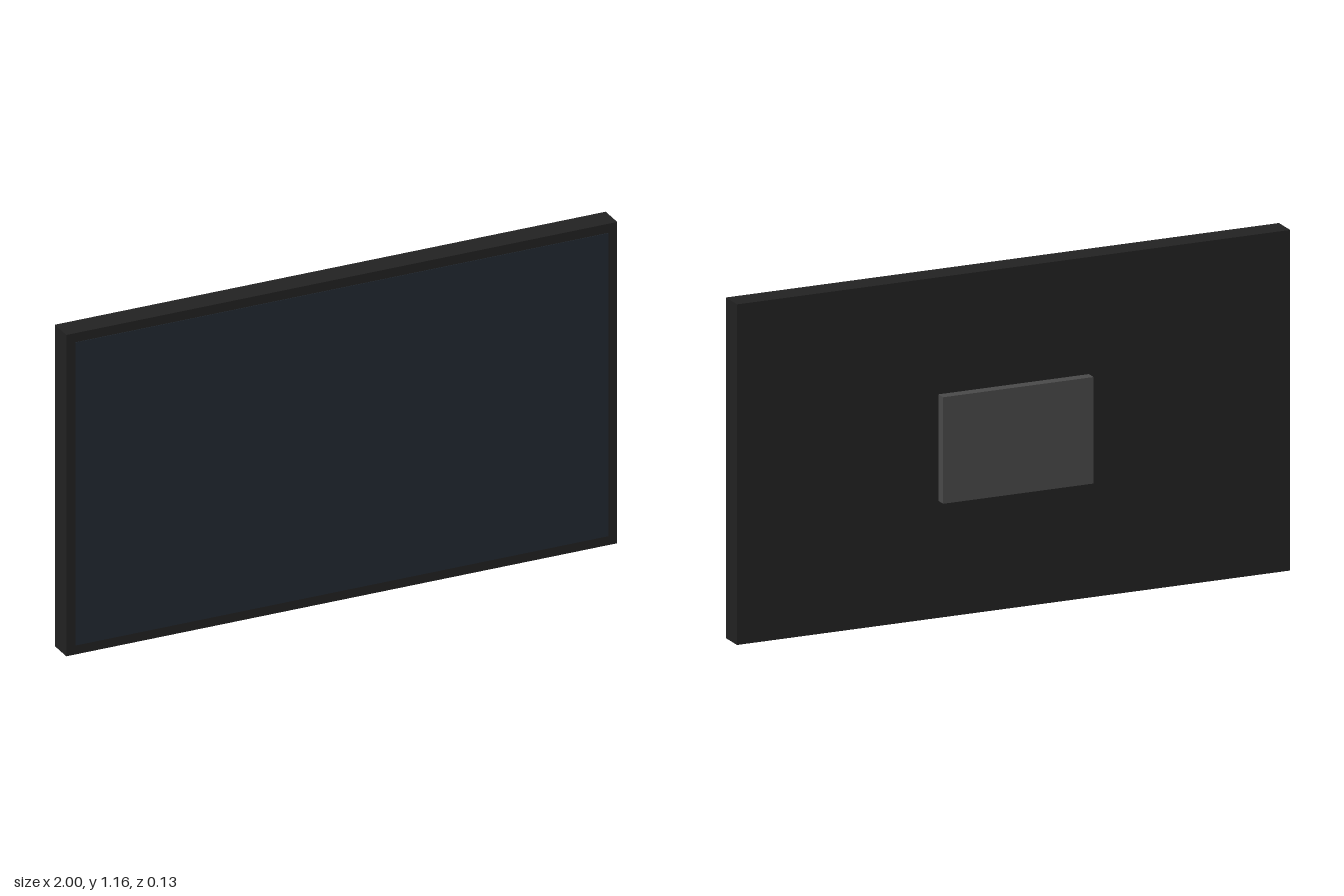
import * as THREE from 'three';

export function createModel() {
  const group = new THREE.Group();
  const width = 2, height = 1.164, bezel = 0.033;
  const centreY = height / 2;

  // Box spanning zBack to zFront, centred on the panel
  function addBox(name, w, h, zBack, zFront, color) {
    const mesh = new THREE.Mesh(
      new THREE.BoxGeometry(w, h, zFront - zBack),
      new THREE.MeshStandardMaterial({ color })
    );
    mesh.name = name;
    mesh.position.set(0, centreY, (zBack + zFront) / 2);
    group.add(mesh);
  }

  // Housing whose front border forms the bezel
  addBox('housing', width, height, -0.026, 0.061, 0x222222);

  // Thin display panel, standing just proud of the bezel
  addBox('screen', width - 2 * bezel, height - 2 * bezel, 0.055, 0.063, 0x222a32);

  // Mounting plate on the back
  addBox('wallMount', 0.544, 0.364, -0.063, -0.026, 0x4a4a4a);

  return group;
}
